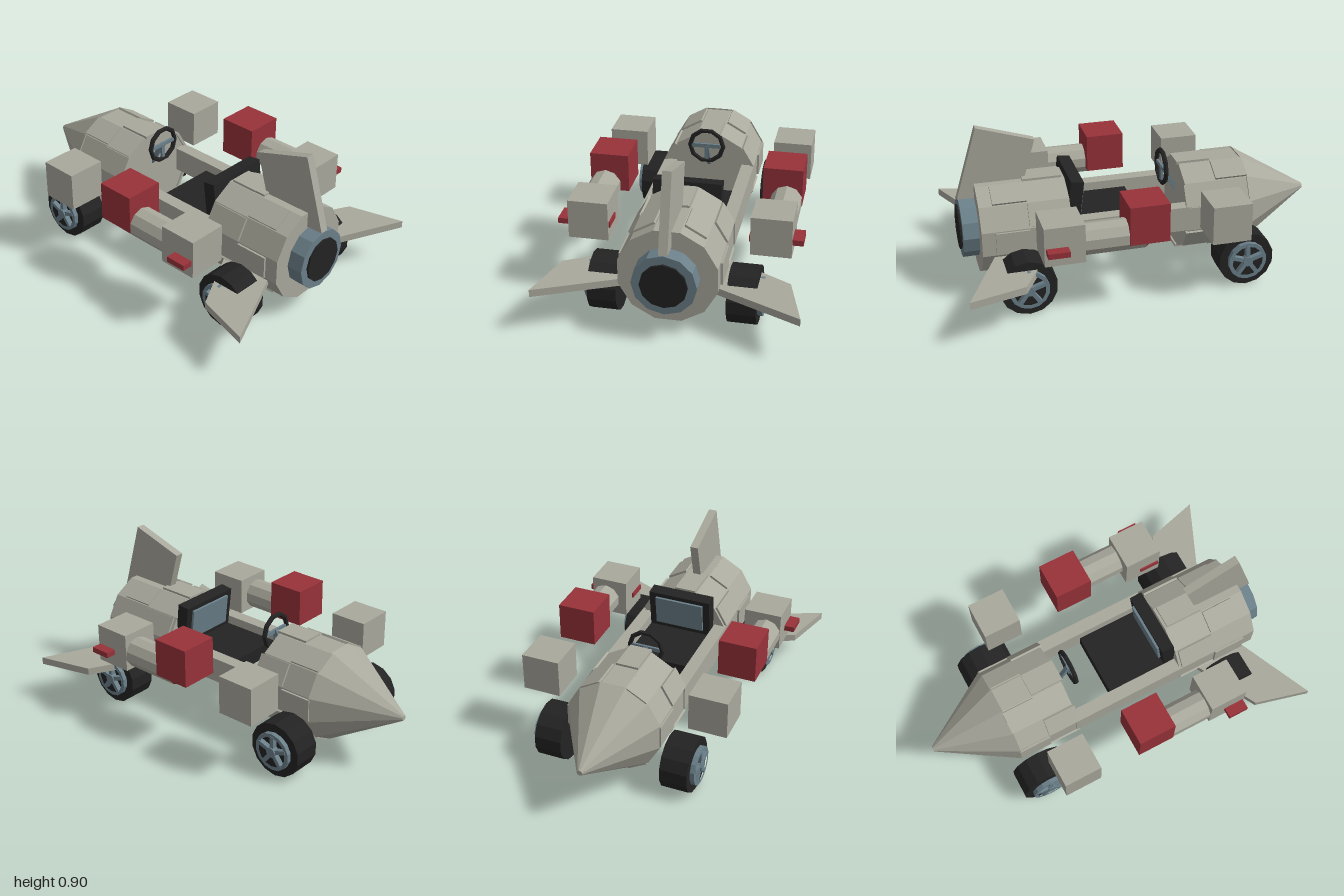
import * as THREE from 'three';

const mat = (name, color) => Object.assign(new THREE.MeshStandardMaterial({ color }), { name });

export function createModel() {
  const grey = mat('hull grey', 0xaaa99d);
  const red = mat('red', 0x98323a);
  const dark = mat('black', 0x232323);
  const blue = mat('steel blue', 0x6b808a);
  const model = new THREE.Group();

  // faceted mesh helper
  const add = (name, geo, material, x = 0, y = 0, z = 0, parent = model) => {
    const g = geo.index ? geo.toNonIndexed() : geo;
    g.computeVertexNormals();
    const mesh = new THREE.Mesh(g, material);
    mesh.name = name;
    mesh.position.set(x, y, z);
    parent.add(mesh);
    return mesh;
  };
  const box = (w, h, d) => new THREE.BoxGeometry(w, h, d);
  // cylinder along z between z0 and z1, with a radius at each end
  const tubeZ = (r0, r1, z0, z1, sides = 12, start = 0) =>
    new THREE.CylinderGeometry(r1, r0, z1 - z0, sides, 1, false, start)
      .rotateX(Math.PI / 2).translate(0, 0, (z0 + z1) / 2);
  const plate = (points, depth, holes = []) => {
    const shape = new THREE.Shape(points.map(p => new THREE.Vector2(...p)));
    holes.forEach(h => shape.holes.push(new THREE.Path(h.map(p => new THREE.Vector2(...p)))));
    return new THREE.ExtrudeGeometry(shape, { depth, bevelEnabled: false });
  };
  const ngon = (r, n) => Array.from({ length: n }, (_, i) => {
    const a = i / n * Math.PI * 2;
    return [r * Math.sin(a), r * Math.cos(a)];
  });

  // fuselage: nose cone and two drums with flats on top
  const axisY = 0.335, flat = Math.PI / 12;
  add('noseCone', tubeZ(0.015, 0.267, -1, -0.59, 12, flat), grey, 0, axisY);
  add('frontHull', tubeZ(0.259, 0.259, -0.59, -0.24, 12, flat), grey, 0, axisY);
  add('rearHull', tubeZ(0.259, 0.259, 0.395, 0.872, 12, flat), grey, 0, axisY);

  // staggered cladding panels on every facet
  const cladding = (name, evenSpan, oddSpan) => {
    for (let i = 0; i < 12; i++) {
      const a = i * Math.PI / 6;
      const [z0, z1] = i % 2 ? oddSpan : evenSpan;
      const p = add(name, box(0.122, 0.016, z1 - z0), grey,
        0.254 * Math.sin(a), axisY + 0.254 * Math.cos(a), (z0 + z1) / 2);
      p.rotation.z = -a;
    }
  };
  cladding('frontPanel', [-0.415, -0.23], [-0.595, -0.415]);
  cladding('rearPanel', [0.41, 0.62], [0.62, 0.8]);

  // engine
  add('engineRing', tubeZ(0.164, 0.164, 0.86, 0.957), blue, 0, axisY);
  add('engineNozzle', tubeZ(0.12, 0.12, 0.9, 0.968), dark, 0, axisY);

  // tail fin
  add('tailFin', plate([[0.627, 0.5], [0.54, 0.8], [0.845, 0.896], [0.963, 0.505]], 0.046)
    .rotateY(-Math.PI / 2), grey, 0.023);

  // seat
  add('seatBase', box(0.36, 0.08, 0.4), dark, 0, 0.33, 0.2);
  const back = new THREE.Group();
  back.name = 'seatBack';
  back.position.set(0, 0.48, 0.362);
  back.rotation.x = -0.12;
  model.add(back);
  add('backrest', box(0.36, 0.24, 0.07), dark, 0, 0, 0, back);
  add('backrestPad', box(0.28, 0.17, 0.016), blue, 0, 0.01, -0.04, back);

  // steering wheel and column
  const steering = new THREE.Group();
  steering.name = 'steering';
  steering.position.set(0, 0.553, -0.163);
  model.add(steering);
  add('steeringRim', new THREE.TorusGeometry(0.093, 0.013, 6, 10), dark, 0, 0, 0, steering);
  add('steeringBar', box(0.17, 0.022, 0.012), blue, 0, 0, 0, steering);
  add('steeringSpoke', box(0.022, 0.085, 0.012), blue, 0, -0.043, 0, steering);
  const column = add('steeringColumn', box(0.022, 0.022, 0.17), blue, 0, -0.07, -0.042, steering);
  column.rotation.x = -1.07;

  // wheel with rim, five spokes and hub; outer side faces +x before mirroring
  const wheel = (name, s, z) => {
    const g = new THREE.Group();
    g.name = name;
    g.position.set(s * 0.355, 0.152, z);
    g.rotation.y = s * Math.PI / 2;
    model.add(g);
    add('tyre', tubeZ(0.152, 0.152, -0.075, 0.075, 14), dark, 0, 0, 0, g);
    add('rim', plate(ngon(0.106, 14), 0.03, [ngon(0.085, 14)]), blue, 0, 0, 0.07, g);
    for (let i = 0; i < 5; i++) {
      const a = i * Math.PI * 2 / 5;
      const spoke = add('spoke', box(0.022, 0.09, 0.03), blue,
        -0.045 * Math.sin(a), 0.045 * Math.cos(a), 0.088, g);
      spoke.rotation.z = a;
    }
    add('hub', tubeZ(0.028, 0.028, 0.07, 0.11, 10), blue, 0, 0, 0, g);
  };

  for (const s of [1, -1]) {
    const side = s > 0 ? 'left' : 'right';
    wheel(side + 'FrontWheel', s, -0.515);
    wheel(side + 'RearWheel', s, 0.668);

    // chassis rail joining the two drums
    add(side + 'Rail', box(0.07, 0.138, 0.66), grey, s * 0.222, 0.345, 0.08);

    // rear wing
    add(side + 'Wing', plate([[s * 0.22, 0.51], [s * 0.587, 0.704], [s * 0.667, 1],
      [s * 0.22, 0.8]], 0.04).rotateX(Math.PI / 2), grey, 0, 0.256);

    // side pods: booster with cone, three blocks and a cross bar
    const x = s * 0.47;
    add(side + 'Booster', tubeZ(0.084, 0.084, 0.08, 0.42, 10), grey, s * 0.493, 0.435);
    add(side + 'BoosterCone', tubeZ(0.005, 0.084, -0.02, 0.08, 10), red, s * 0.493, 0.435);
    add(side + 'FrontBlock', box(0.21, 0.21, 0.21), grey, x, 0.45, -0.376);
    add(side + 'MiddleBlock', box(0.21, 0.21, 0.21), red, x, 0.508, 0.065);
    add(side + 'RearBlock', box(0.21, 0.21, 0.21), grey, x, 0.45, 0.503);
    add(side + 'CrossBar', box(0.274, 0.03, 0.112), red, s * 0.494, 0.43, 0.543);
  }
  return model;
}
